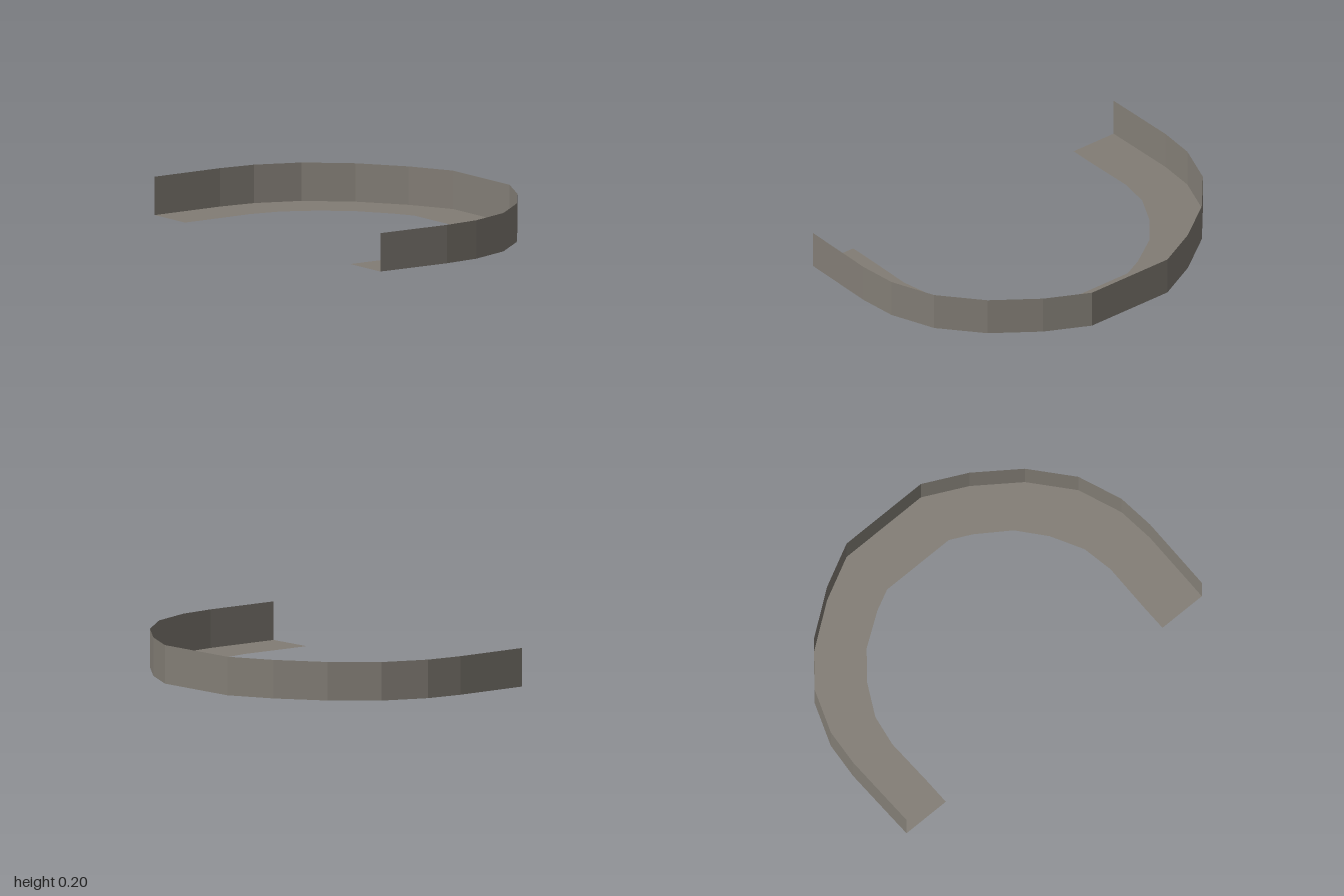
import * as THREE from 'three';

// Plan outlines [x, z] of the rear half, from the open end to the crown of the arch
const OUTER = [[-0.675, -0.995], [-0.53, -0.997], [-0.26, -1], [-0.06, -0.98],
  [0.175, -0.89], [0.387, -0.71], [0.555, -0.48], [0.67, -0.25]];
const INNER = [[-0.675, -0.73], [-0.53, -0.73], [-0.26, -0.735], [-0.09, -0.705],
  [0.08, -0.615], [0.225, -0.495], [0.345, -0.32], [0.4, -0.208]];
const HEIGHT = 0.2;

// Mirrors a half outline to the front and lifts it to height y
function rail(half, y) {
  const front = half.map(([x, z]) => [x, -z]).reverse();
  return [...half, ...front].map(([x, z]) => new THREE.Vector3(x, y, z));
}

// Faceted sheet between two rails
function strip(a, b) {
  const points = [];
  for (let i = 0; i < a.length - 1; i++) {
    points.push(a[i], b[i], b[i + 1], a[i], b[i + 1], a[i + 1]);
  }
  const geometry = new THREE.BufferGeometry().setFromPoints(points);
  geometry.computeVertexNormals();
  return geometry;
}

export function createModel() {
  const stone = new THREE.MeshStandardMaterial({
    color: 0x827d75, side: THREE.DoubleSide, flatShading: true,
  });
  stone.name = 'warmGrey';
  const group = new THREE.Group();
  group.name = 'curvedLedge';

  // Flat walkway
  const floor = new THREE.Mesh(strip(rail(OUTER, 0), rail(INNER, 0)), stone);
  floor.name = 'floor';

  // Upright wall along the outer edge
  const wall = new THREE.Mesh(strip(rail(OUTER, 0), rail(OUTER, HEIGHT)), stone);
  wall.name = 'outerWall';

  group.add(floor, wall);
  return group;
}
